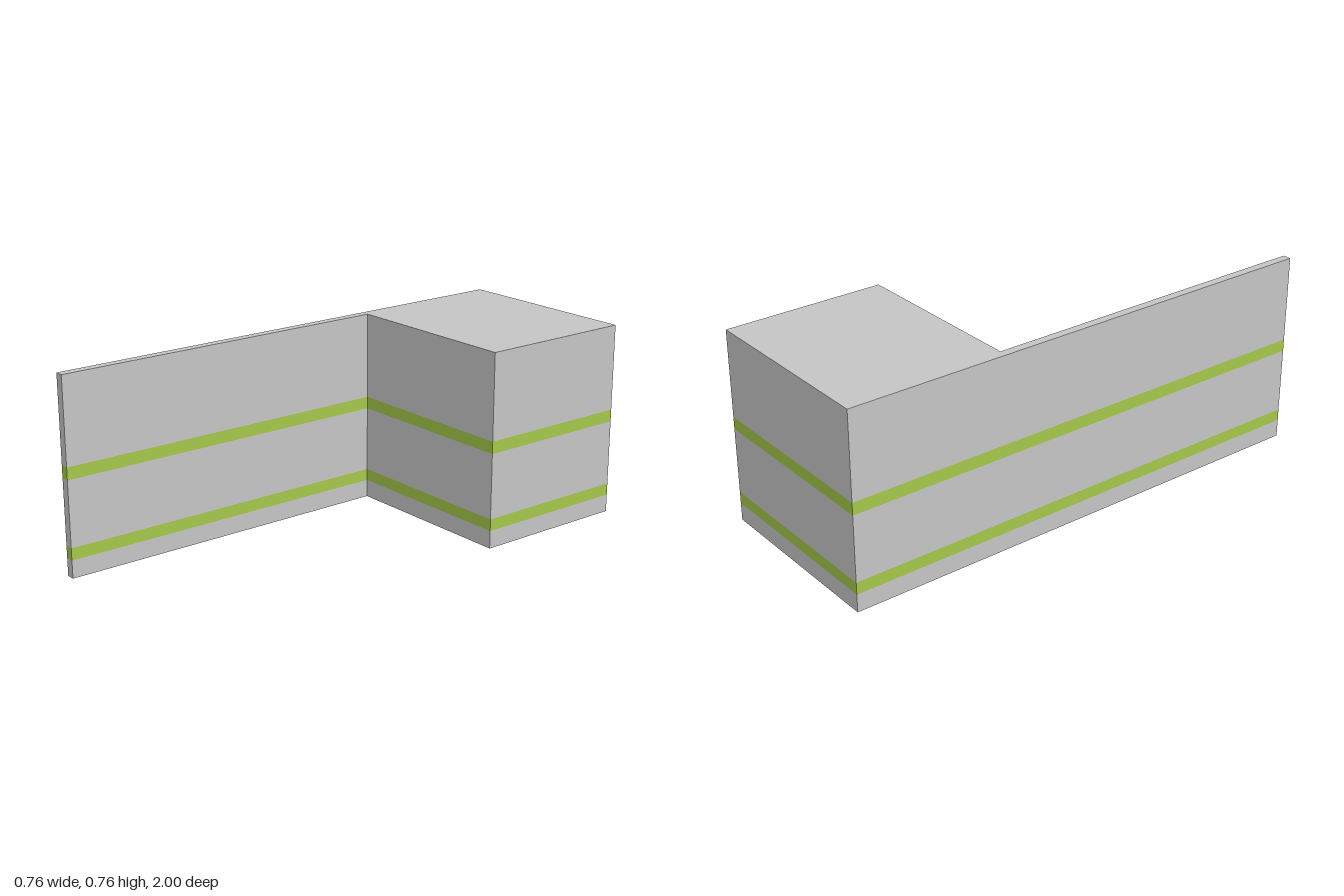
import * as THREE from 'three';

// L-shaped footprint as (x, -z), counter-clockwise: a thin wall running forward from a block
const W = 0.381, WALL = -0.347, BLOCK_FRONT = 0.366;
const footprint = [
  [-W, -1], [WALL, -1], [WALL, BLOCK_FRONT], [W, BLOCK_FRONT], [W, 1], [-W, 1],
].map(([x, y]) => new THREE.Vector2(x, y));

// Vertical faces around the footprint between two heights
function bandGeometry(y0, y1) {
  const pos = [];
  footprint.forEach((a, i) => {
    const b = footprint[(i + 1) % footprint.length];
    pos.push(
      a.x, y0, -a.y, b.x, y0, -b.y, b.x, y1, -b.y,
      a.x, y0, -a.y, b.x, y1, -b.y, a.x, y1, -a.y,
    );
  });
  const geo = new THREE.BufferGeometry();
  geo.setAttribute('position', new THREE.Float32BufferAttribute(pos, 3));
  geo.computeVertexNormals();
  return geo;
}

export function createModel() {
  const group = new THREE.Group();
  const grey = new THREE.MeshStandardMaterial({ name: 'light grey', color: 0xc8c8c8 });
  const green = new THREE.MeshStandardMaterial({ name: 'lime green', color: 0xa6ca4c });
  // The underside shares the grey but is seen from below
  const add = (name, geo, mat) => {
    const mesh = new THREE.Mesh(geo, mat);
    mesh.name = name;
    group.add(mesh);
    return mesh;
  };

  // Alternating grey walls and green stripes, bottom to top
  const levels = [0, 0.07, 0.117, 0.375, 0.423, 0.763];
  const names = ['lowerWall', 'lowerStripe', 'middleWall', 'upperStripe', 'upperWall'];
  names.forEach((name, i) =>
    add(name, bandGeometry(levels[i], levels[i + 1]), i % 2 ? green : grey));

  // Roof and underside
  const roof = new THREE.ShapeGeometry(new THREE.Shape(footprint)).rotateX(-Math.PI / 2);
  add('roof', roof, grey).position.y = levels[5];
  const mirrored = footprint.map((p) => new THREE.Vector2(p.x, -p.y));
  add('underside', new THREE.ShapeGeometry(new THREE.Shape(mirrored)).rotateX(Math.PI / 2), grey);

  return group;
}
